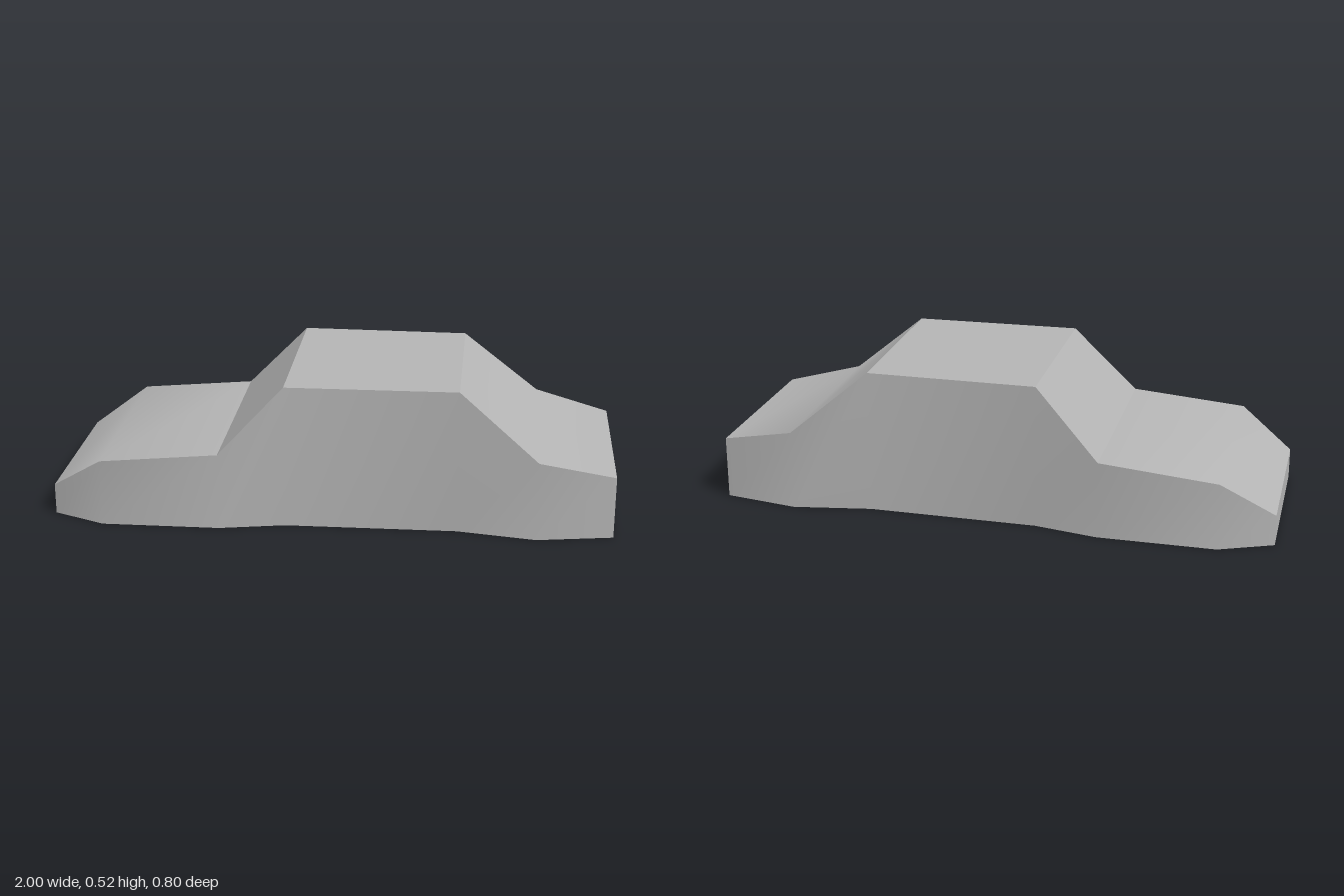
import * as THREE from 'three';
import { toCreasedNormals } from 'three/addons/utils/BufferGeometryUtils.js';

// Stations along the car: x, height, half width
const STATIONS = [
  [-1, 0.11, 0.32],
  [-0.81, 0.24, 0.402],
  [-0.39, 0.278, 0.398],
  [-0.16, 0.52, 0.351],
  [0.45, 0.52, 0.342],
  [0.73, 0.287, 0.389],
  [1, 0.225, 0.341],
];

// Lofts rectangular cross-sections into a closed shell
function loftBody(stations) {
  const positions = [];
  const indices = [];
  for (const [x, h, w] of stations) {
    positions.push(x, 0, w, x, h, w, x, h, -w, x, 0, -w);
  }
  const quad = (a, b, c, d) => indices.push(a, b, c, a, c, d);
  for (let i = 0; i < stations.length - 1; i++) {
    for (let j = 0; j < 4; j++) {
      const k = (j + 1) % 4;
      quad(i * 4 + j, i * 4 + 4 + j, i * 4 + 4 + k, i * 4 + k);
    }
  }
  // End caps
  const e = (stations.length - 1) * 4;
  quad(0, 1, 2, 3);
  quad(e + 3, e + 2, e + 1, e);

  const geometry = new THREE.BufferGeometry();
  geometry.setAttribute('position', new THREE.Float32BufferAttribute(positions, 3));
  geometry.setIndex(indices);
  // Soft bends on the hood, tail and flanks; sharp roof and sill edges
  return toCreasedNormals(geometry, THREE.MathUtils.degToRad(35));
}

export function createModel() {
  const group = new THREE.Group();
  group.name = 'car';
  const paint = new THREE.MeshStandardMaterial({ color: 0xb4b4b4 });
  paint.name = 'grey paint';
  const body = new THREE.Mesh(loftBody(STATIONS), paint);
  body.name = 'carBody';
  group.add(body);
  return group;
}
